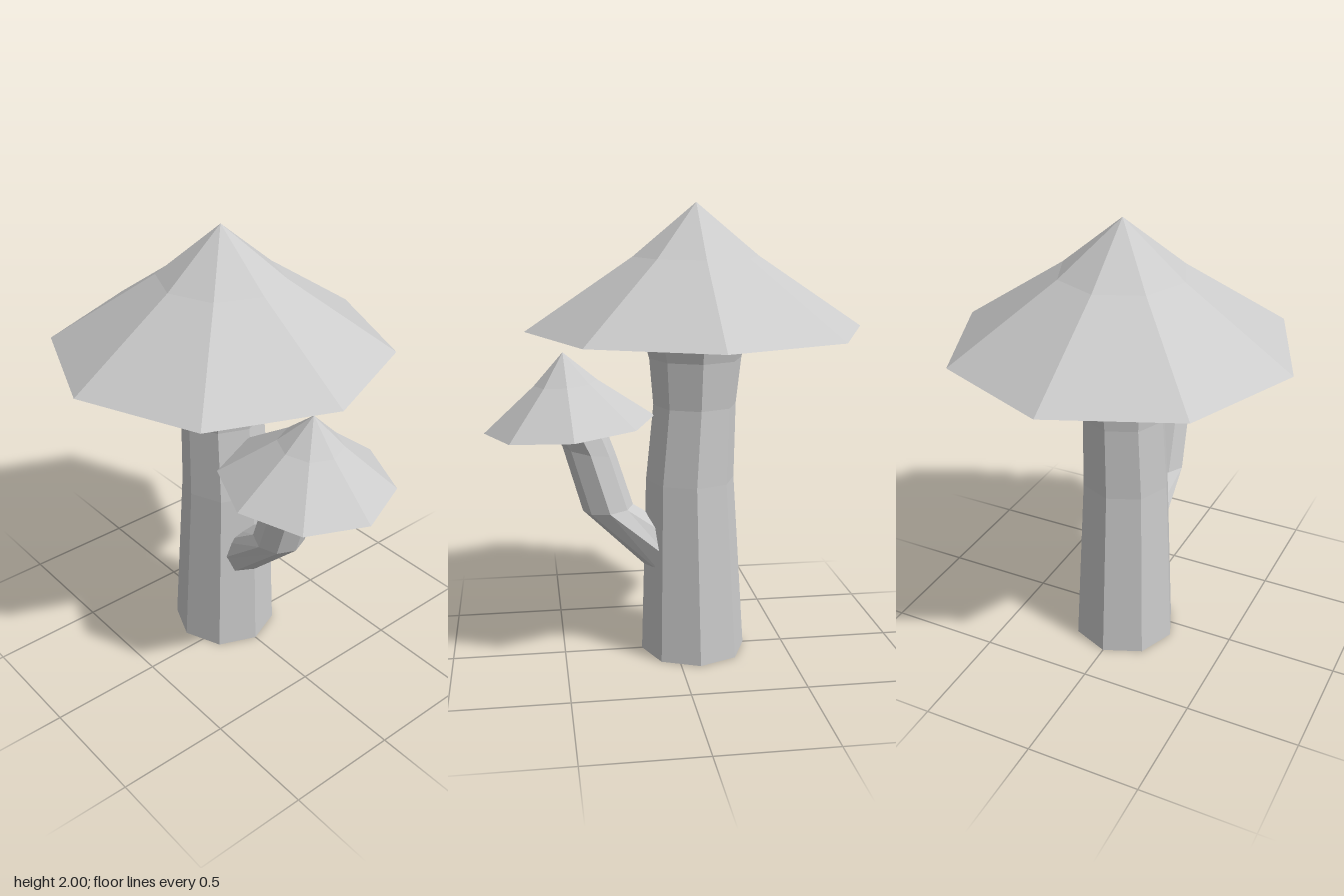
import * as THREE from 'three';

const SIDES = 8;
const material = new THREE.MeshStandardMaterial({
  color: 0xcccccc, flatShading: true, side: THREE.DoubleSide,
});

// Open tube through octagonal rings: centre (x, y), in-plane radius vector (ux, uy), depth radius rz
function stem(name, rings) {
  const positions = [], index = [];
  rings.forEach(({ x, y, ux, uy, rz }, r) => {
    for (let i = 0; i < SIDES; i++) {
      const a = (i / SIDES) * Math.PI * 2, c = Math.cos(a);
      positions.push(x + ux * c, y + uy * c, rz * Math.sin(a));
      if (r === 0) continue;
      const j = (i + 1) % SIDES, lo = (r - 1) * SIDES, hi = r * SIDES;
      index.push(lo + i, hi + i, lo + j, lo + j, hi + i, hi + j);
    }
  });
  const geometry = new THREE.BufferGeometry();
  geometry.setAttribute('position', new THREE.Float32BufferAttribute(positions, 3));
  geometry.setIndex(index);
  geometry.computeVertexNormals();
  const mesh = new THREE.Mesh(geometry, material);
  mesh.name = name;
  return mesh;
}

// Pointed cap with a slight bend in its slope and a shallow hollow underside
function cap(name, radius, height, x, y, tilt = 0) {
  const profile = [[0, 0.16], [1, 0], [0.37, 0.58], [0, 1]]
    .map(([r, h]) => new THREE.Vector2(r * radius, h * height));
  const mesh = new THREE.Mesh(new THREE.LatheGeometry(profile, SIDES), material);
  mesh.name = name;
  mesh.position.set(x, y, 0);
  mesh.rotation.z = tilt;
  return mesh;
}

export function createModel() {
  const group = new THREE.Group();
  group.name = 'mushrooms';

  // Large mushroom: gently bent stem, flared under the cap
  const mainRings = [
    [-0.085, 0, 0.235], [-0.07, 0.8, 0.197], [-0.09, 1.135, 0.183],
    [-0.093, 1.34, 0.203], [-0.092, 1.465, 0.238], [-0.092, 1.54, 0.262],
  ].map(([x, y, r]) => ({ x, y, ux: r, uy: 0, rz: r }));
  group.add(stem('mainStem', mainRings));
  group.add(cap('mainCap', 0.735, 0.535, -0.093, 1.465));

  // Small mushroom: side stem growing out of the large one and turning upward
  const sideRings = [
    [0.02, 0.45, 0.075, -0.085, 0.125], [0.297, 0.678, 0.111, -0.01, 0.115],
    [0.376, 0.942, 0.116, 0.021, 0.11], [0.431, 1.056, 0.119, -0.008, 0.12],
    [0.45, 1.095, 0.128, -0.01, 0.13],
  ].map(([x, y, ux, uy, rz]) => ({ x, y, ux, uy, rz }));
  group.add(stem('sideStem', sideRings));
  group.add(cap('sideCap', 0.37, 0.316, 0.457, 1.06, -0.08));

  return group;
}
